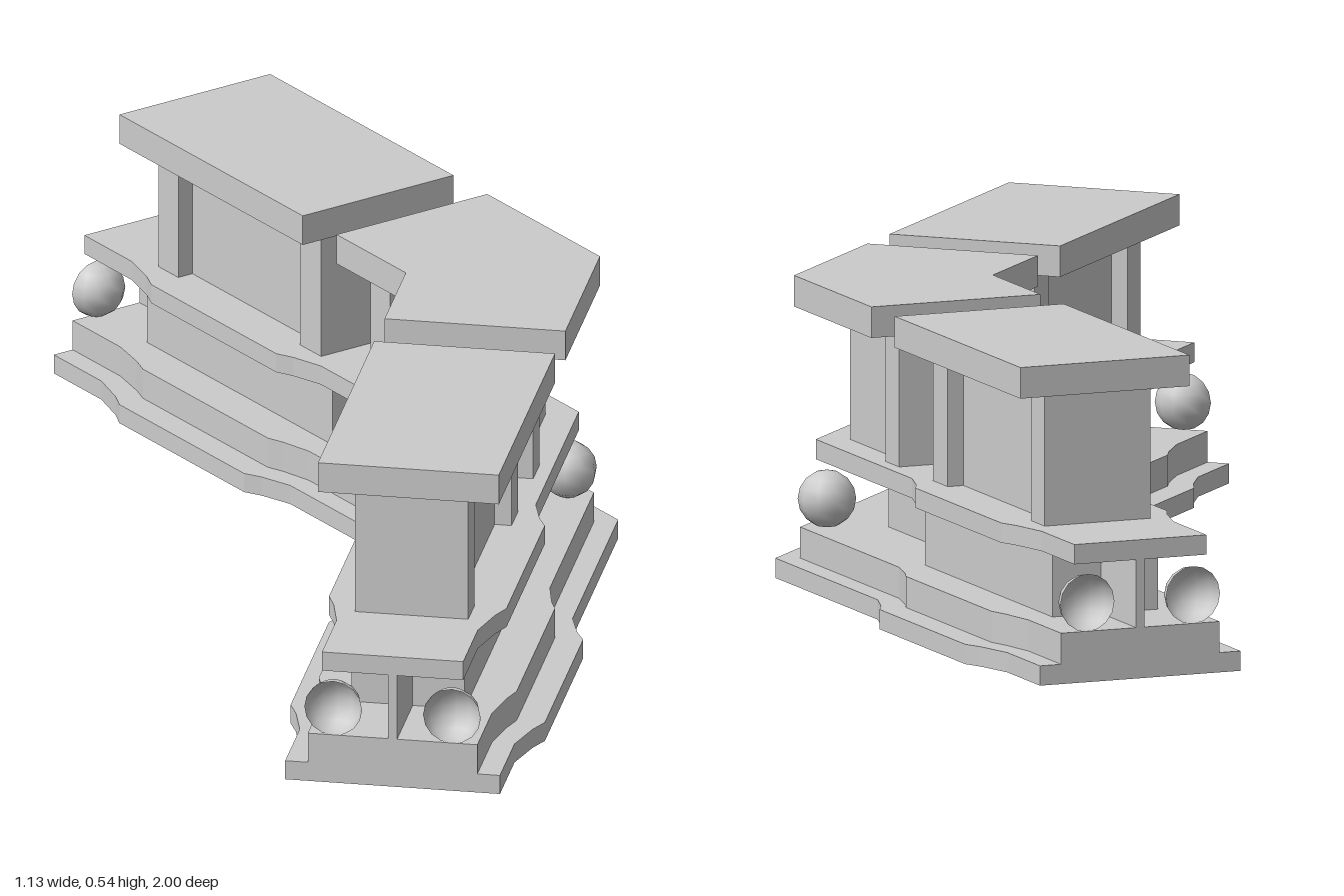
import * as THREE from 'three';

const BEND = new THREE.Vector2(0.34, -0.095);
const MITRE = new THREE.Vector2(Math.cos(Math.PI / 8), -Math.sin(Math.PI / 8));
const END = 1.095;

// Plan position from distance s along an arm and sideways offset w (outer side positive).
// The back arm is the front arm mirrored across the mitre line.
function plan(s, w, back) {
  const v = new THREE.Vector2(w, s);
  if (back) v.copy(MITRE.clone().multiplyScalar(2 * v.dot(MITRE)).sub(v));
  return v.add(BEND);
}

// Band that runs round the bend; profile lists [s, w] from the end inwards
function bentOutline(profile) {
  const last = profile[profile.length - 1][1];
  const side = (k) => [
    ...profile.map(([s, w]) => plan(s, k * w, false)),
    plan(-k * last * Math.tan(Math.PI / 8), k * last, false),
    ...profile.map(([s, w]) => plan(s, k * w, true)).reverse(),
  ];
  return [...side(1), ...side(-1).reverse()];
}

// Symmetrical block lying on one arm only
function armOutline(profile, back) {
  return [
    ...profile.map(([s, w]) => plan(s, w, back)),
    ...profile.map(([s, w]) => plan(s, -w, back)).reverse(),
  ];
}

export function createModel() {
  const model = new THREE.Group();
  const stone = new THREE.MeshStandardMaterial({ color: 0xcccccc, side: THREE.DoubleSide });

  function layer(name, outline, y0, y1, parent = model) {
    const shape = new THREE.Shape(outline.map((p) => new THREE.Vector2(p.x, -p.y)));
    const geo = new THREE.ExtrudeGeometry(shape, { depth: y1 - y0, bevelEnabled: false });
    geo.rotateX(-Math.PI / 2);
    geo.translate(0, y0, 0);
    const mesh = new THREE.Mesh(geo, stone);
    mesh.name = name;
    parent.add(mesh);
  }

  // Stepped layers, each swelling in the middle of the arms
  const swell = (narrow, wide) => {
    const mid = narrow + (wide - narrow) * 0.55;
    return [[END, narrow], [0.95, narrow], [0.88, mid], [0.845, wide],
      [0.465, wide], [0.435, mid], [0.375, narrow]];
  };
  layer('base', bentOutline(swell(0.19, 0.225)), 0, 0.035);
  layer('plinth', bentOutline(swell(0.15, 0.175)), 0.035, 0.09);
  layer('walkway', bentOutline(swell(0.125, 0.157)), 0.21, 0.245);

  // Thin core wall with a thick block on each arm
  layer('coreWall', bentOutline([[END, 0.008]]), 0.09, 0.21);
  for (const back of [false, true]) {
    layer('wallBlock', armOutline([[0.94, 0.1], [0.375, 0.1]], back), 0.09, 0.21);

    // Merlon with recessed side panels
    const merlon = new THREE.Group();
    merlon.name = back ? 'backMerlon' : 'frontMerlon';
    model.add(merlon);
    layer('panelledBody', armOutline([[0.905, 0.1], [0.845, 0.1], [0.845, 0.07],
      [0.475, 0.07], [0.475, 0.1], [0.41, 0.1]], back), 0.245, 0.465, merlon);
    layer('bodyTop', armOutline([[0.905, 0.1], [0.41, 0.1]], back), 0.465, 0.48, merlon);
    layer('cap', armOutline([[0.938, 0.16], [0.38, 0.16]], back), 0.48, 0.535, merlon);
  }

  // Corner merlon wrapping round the bend
  const corner = new THREE.Group();
  corner.name = 'cornerMerlon';
  model.add(corner);
  layer('panelledBody', bentOutline([[0.26, 0.1], [0.2, 0.1], [0.2, 0.07]]), 0.245, 0.465, corner);
  layer('bodyTop', bentOutline([[0.26, 0.1]]), 0.465, 0.48, corner);
  layer('cap', bentOutline([[0.277, 0.16]]), 0.48, 0.535, corner);

  // Balls in the gaps: halves at both ends, whole ones at the bend
  function ball(name, geo, p, turn) {
    const mesh = new THREE.Mesh(geo, stone);
    mesh.name = name;
    mesh.position.set(p.x, 0.14, p.y);
    mesh.rotation.y = turn;
    model.add(mesh);
  }
  const half = new THREE.SphereGeometry(0.051, 6, 8, Math.PI, Math.PI);
  const whole = new THREE.SphereGeometry(0.051, 10, 8);
  for (const k of [-1, 1]) {
    ball('frontHalfBall', half, plan(END, k * 0.105, false), 0);
    ball('backHalfBall', half, plan(END, k * 0.1, true), -Math.PI * 0.75);
    ball('cornerBall', whole, plan(-k * 0.042, k * 0.108, false), Math.PI / 8);
  }
  return model;
}
